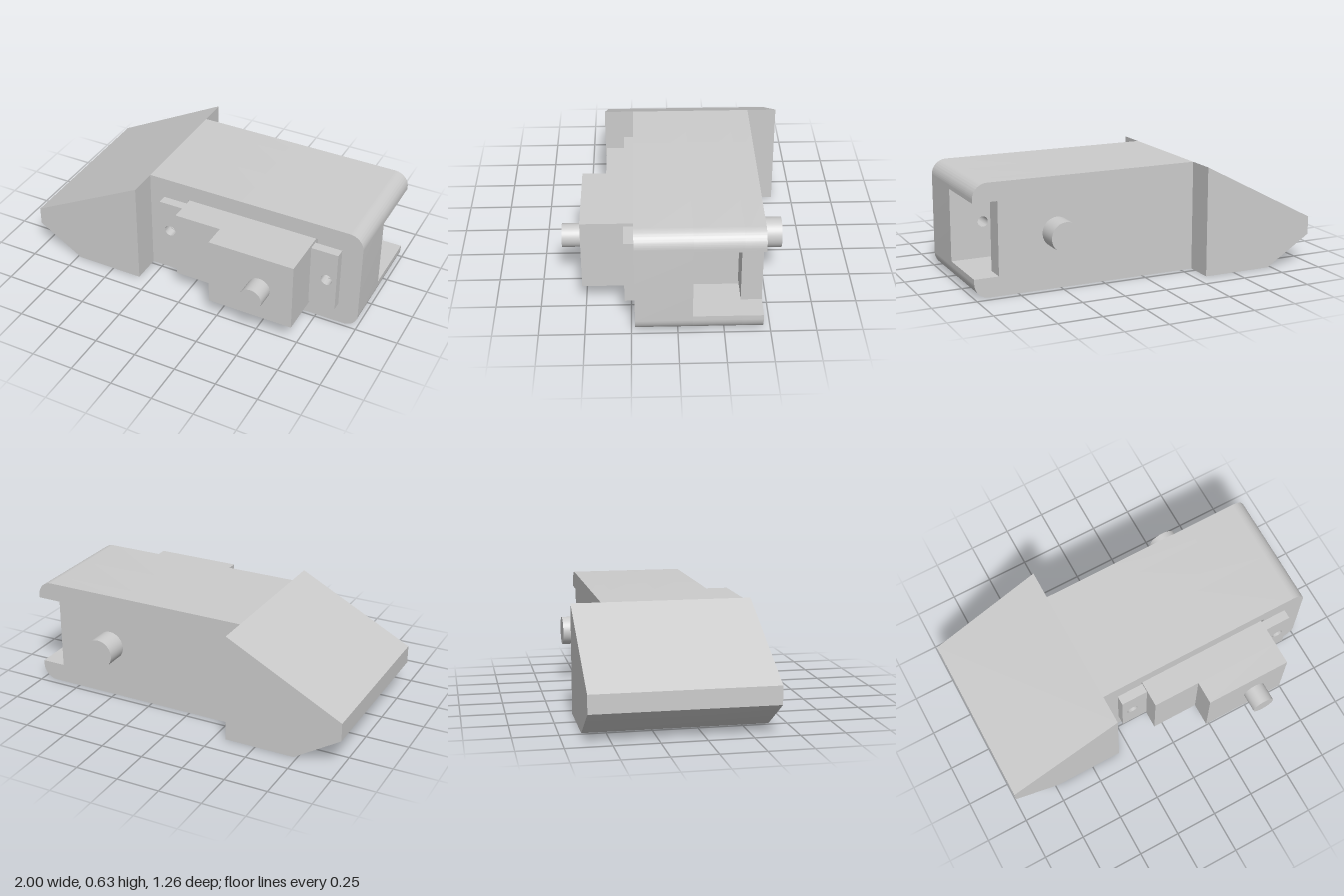
import * as THREE from 'three';
import { toCreasedNormals } from 'three/addons/utils/BufferGeometryUtils.js';

const H = 0.63, MID = 0.318;          // body height, height of the pin axis
const X0 = -0.32, X1 = 1, R = 0.085;  // body ends and corner radius
const material = new THREE.MeshStandardMaterial({ color: 0xcccccc });

function add(group, name, geometry) {
  const mesh = new THREE.Mesh(geometry, material);
  mesh.name = name;
  group.add(mesh);
  return mesh;
}

// Extrude a shape from z0 to z1, keeping edges sharp and curves smooth
function slab(shape, z0, z1) {
  const g = new THREE.ExtrudeGeometry(shape, { depth: z1 - z0, bevelEnabled: false, curveSegments: 14 });
  g.translate(0, 0, z0);
  return toCreasedNormals(g, 0.6);
}

function polygon(points) {
  return new THREE.Shape(points.map(([x, y]) => new THREE.Vector2(x, y)));
}

function rect(x0, x1, y0, y1) {
  return polygon([[x0, y0], [x1, y0], [x1, y1], [x0, y1]]);
}

function circleHole(x, y, r) {
  return new THREE.Path().absarc(x, y, r, 0, Math.PI * 2, true);
}

function block(x0, x1, y0, y1, z0, z1) {
  return new THREE.BoxGeometry(x1 - x0, y1 - y0, z1 - z0)
    .translate((x0 + x1) / 2, (y0 + y1) / 2, (z0 + z1) / 2);
}

function pin(x, r, z0, z1) {
  return new THREE.CylinderGeometry(r, r, z1 - z0, 40)
    .rotateX(Math.PI / 2).translate(x, MID, (z0 + z1) / 2);
}

// Body outline with two rounded corners; notch points cut into the +x end
function bodyShape(notch = []) {
  const s = new THREE.Shape();
  s.moveTo(X0, 0);
  s.lineTo(X1 - R, 0);
  s.absarc(X1 - R, R, R, -Math.PI / 2, 0, false);
  notch.forEach(([x, y]) => s.lineTo(x, y));
  s.lineTo(X1, H - R);
  s.absarc(X1 - R, H - R, R, 0, Math.PI / 2, false);
  s.lineTo(X0, H);
  return s;
}

export function createModel() {
  const model = new THREE.Group();
  model.name = 'motorHousing';

  // Housing body in three layers: front wall, hollow middle, notched back wall
  const body = new THREE.Group();
  body.name = 'body';
  model.add(body);
  const front = bodyShape();
  front.holes.push(rect(-0.075, 0.735, 0.105, 0.533));
  front.holes.push(circleHole(-0.165, MID, 0.03), circleHole(0.81, MID, 0.03));
  add(body, 'frontWall', slab(front, -0.08, 0.23));

  const lo = 0.11, hi = 0.525;
  const channel = [[X1, lo], [0.735, lo], [0.735, 0.105], [-0.075, 0.105],
    [-0.075, 0.533], [0.735, 0.533], [0.735, hi], [X1, hi]];
  add(body, 'middleLayer', slab(bodyShape(channel), -0.345, -0.08));
  add(body, 'backWall', slab(bodyShape([[X1, lo], [0.86, lo], [0.86, hi], [X1, hi]]), -0.46, -0.345));

  // Wide wedge nose
  const wedge = polygon([[X0, 0], [X0, H], [-1, 0.275], [-1, 0.17], [-0.73, 0]]);
  add(model, 'wedge', slab(wedge, -0.63, 0.4));

  // Pivot pin on the back
  add(model, 'pivotPin', pin(0.52, 0.085, -0.59, -0.455));

  // Motor set into the pocket, with mounting ears and output shaft
  const motor = new THREE.Group();
  motor.name = 'motor';
  model.add(motor);
  add(motor, 'motorCase', block(-0.07, 0.72, 0.112, 0.525, -0.34, 0.385));
  add(motor, 'gearCase', block(0.21, 0.72, 0.112, 0.525, 0.385, 0.52));
  for (const [name, x0, x1, hx] of [['leftEar', 0.72, 0.88, 0.82], ['rightEar', -0.23, -0.07, -0.165]]) {
    const ear = rect(x0, x1, 0.13, 0.505);
    ear.holes.push(circleHole(hx, MID, 0.034));
    add(motor, name, slab(ear, 0.23, 0.285));
  }
  add(motor, 'outputShaft', pin(0.52, 0.066, 0.515, 0.63));
  return model;
}
